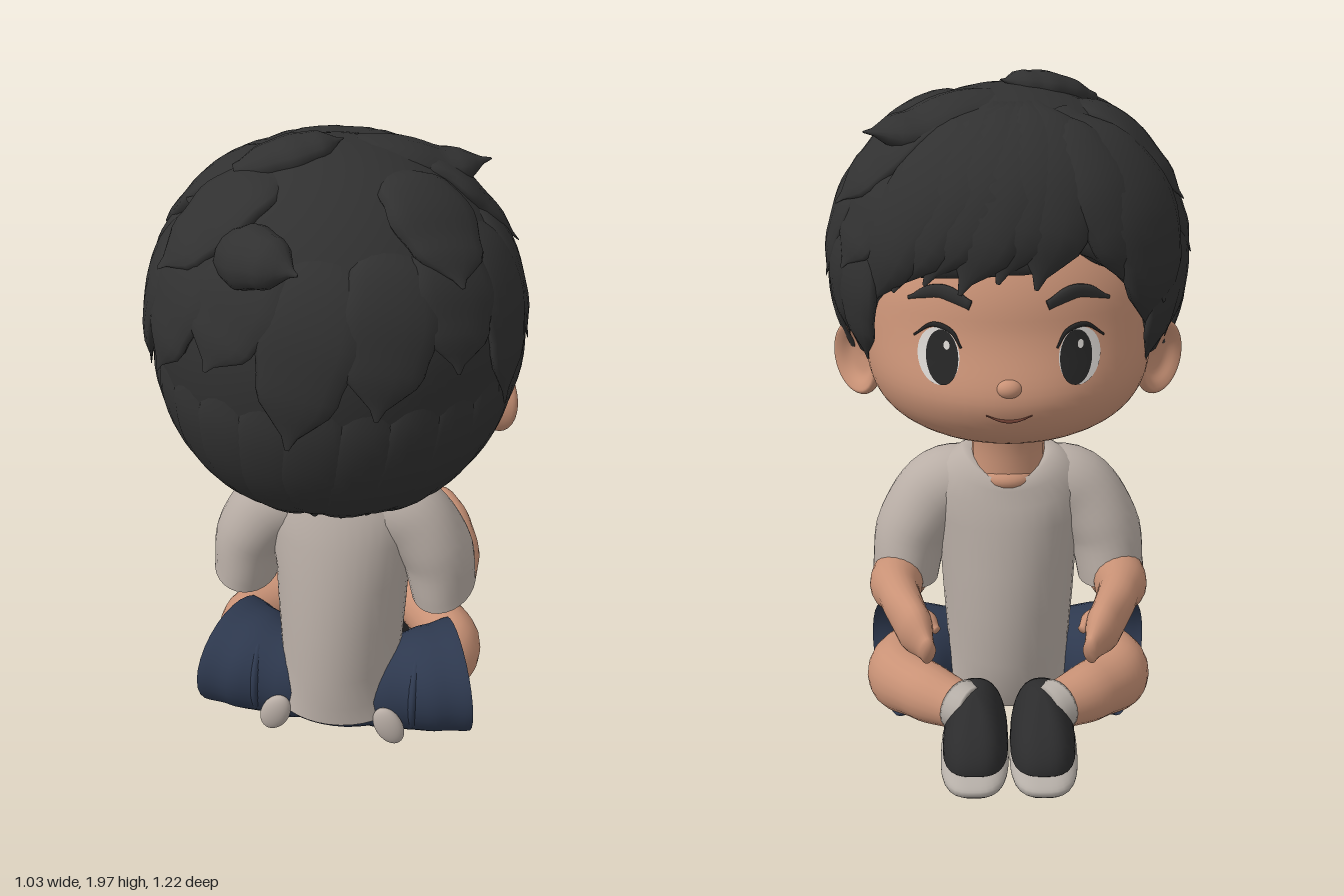
import * as THREE from 'three';

const V = (x, y, z) => new THREE.Vector3(x, y, z);
const mat = (name, color) => new THREE.MeshStandardMaterial({ name, color, side: THREE.DoubleSide });

// Closed rings of points joined into a smooth skin, with optional end caps
function skinRings(rings, capStart = true, capEnd = true) {
  const n = rings[0].length, pos = [], idx = [];
  rings.forEach(r => r.forEach(p => pos.push(p.x, p.y, p.z)));
  for (let i = 0; i < rings.length - 1; i++) for (let j = 0; j < n; j++) {
    const a = i * n + j, b = i * n + (j + 1) % n;
    idx.push(a, b, a + n, b, b + n, a + n);
  }
  const cap = (k, flip) => {
    const c = rings[k].reduce((s, p) => s.add(p), V(0, 0, 0)).divideScalar(n);
    const ci = pos.length / 3;
    pos.push(c.x, c.y, c.z);
    for (let j = 0; j < n; j++) {
      const a = k * n + j, b = k * n + (j + 1) % n;
      flip ? idx.push(ci, b, a) : idx.push(ci, a, b);
    }
  };
  if (capStart) cap(0, true);
  if (capEnd) cap(rings.length - 1, false);
  const g = new THREE.BufferGeometry();
  g.setAttribute('position', new THREE.Float32BufferAttribute(pos, 3));
  g.setIndex(idx);
  g.computeVertexNormals();
  return g;
}

// Ellipse swept along a curve; ra lies across "ref", rb along it
function sweep(points, ra, rb, { ref = () => V(0, 1, 0), steps = 18, sides = 20, caps = [true, true] } = {}) {
  const curve = new THREE.CatmullRomCurve3(points);
  const at = (list, t) => {
    const f = t * (list.length - 1), i = Math.min(Math.floor(f), list.length - 2);
    const k = f - i, s = k * k * (3 - 2 * k);
    return list[i] * (1 - s) + list[i + 1] * s;
  };
  const rings = [];
  for (let i = 0; i <= steps; i++) {
    const t = i / steps, c = curve.getPoint(t), T = curve.getTangent(t);
    const A = ref(c).cross(T).normalize(), B = T.clone().cross(A);
    rings.push(Array.from({ length: sides }, (_, j) => {
      const q = j / sides * Math.PI * 2;
      return c.clone().addScaledVector(A, Math.cos(q) * at(ra, t)).addScaledVector(B, Math.sin(q) * at(rb, t));
    }));
  }
  return skinRings(rings, ...caps);
}

// Face surface: rounder below the eyes, flatter at the forehead
const squash = y => 1 - 0.18 * THREE.MathUtils.smoothstep(y, 1.2, 1.42);
const girth = u => Math.sqrt(Math.max(0, 1 - (u < 0 ? u ** 4 : u * u)));
const faceZ = (x, y) => -0.428 * squash(y) * Math.sqrt(Math.max(0, girth((y - 1.36) / 0.35) ** 2 - (x / 0.405) ** 2));

// Hair volume: azimuth a (0 is the face side) and polar angle th
const DOWN = 0.57;
function hairPt(a, th, k = 1) {
  const c = Math.cos(th), s = Math.sin(th) * k;
  return V(s * Math.sin(a) * 0.49, 1.48 + c * k * (c > 0 ? 0.48 : DOWN), 0.1 - s * Math.cos(a) * (Math.cos(a) > 0 ? 0.47 : 0.49));
}
const LINE = [[0, 1.56], [0.7, 1.53], [0.92, 1.42], [1.0, 1.26], [1.2, 1.25], [1.3, 1.34], [1.48, 1.33], [1.56, 1.12], [1.9, 0.99], [2.4, 1.0], [3.15, 1.02]];
function hairEnd(angle) {
  const b = Math.atan2(Math.sin(angle), Math.cos(angle)), a = Math.abs(b);
  const i = Math.max(1, LINE.findIndex(p => p[0] >= a));
  const [a0, y0] = LINE[i - 1], [a1, y1] = LINE[i];
  // The line rises at the parting
  const d = y0 + (y1 - y0) * (a - a0) / (a1 - a0) - 1.48 + 0.06 * Math.exp(-(((b + 0.38) / 0.18) ** 2));
  return Math.acos(d / (d > 0 ? 0.48 : DOWN));
}

// Blunt shoe form with separate heights above and below its rim
function shoeForm(rx, rz, up, down) {
  const g = new THREE.SphereGeometry(1, 36, 24), p = g.attributes.position;
  for (let i = 0; i < p.count; i++) {
    const x = p.getX(i), y = p.getY(i), z = p.getZ(i);
    const k = Math.hypot(x, z) / (Math.cbrt(Math.abs(x) ** 3 + Math.abs(z) ** 3) || 1);
    p.setXYZ(i, x * k * rx, y > 0 ? y * up * (1 + 0.25 * z) : y * down, z * k * rz);
  }
  g.computeVertexNormals();
  return g;
}

export function createModel() {
  const root = new THREE.Group();
  const skin = mat('skin', 0xc99276), hair = mat('hair', 0x313131), shirt = mat('shirt', 0xb9aea6);
  const navy = mat('shorts', 0x2e394f), shoe = mat('shoe', 0x2c2c2d), sole = mat('sole', 0xb5aea7);
  const white = mat('eyeWhite', 0xd6d2ce), iris = mat('iris', 0x252525), lip = mat('mouth', 0x6e3f33);
  const add = (name, geo, m, parent = root) => {
    const o = new THREE.Mesh(geo, m);
    o.name = name;
    parent.add(o);
    return o;
  };
  const ball = (name, m, p, s) => {
    const o = add(name, new THREE.SphereGeometry(1, 32, 20), m);
    o.position.set(...p);
    o.scale.set(...s);
    return o;
  };

  // Head with full cheeks and chin
  const headGeo = new THREE.SphereGeometry(1, 64, 48), hp = headGeo.attributes.position;
  for (let i = 0; i < hp.count; i++) {
    const u = hp.getY(i), y = 1.36 + 0.35 * u, z = hp.getZ(i);
    const k = u < 0 ? Math.sqrt(1 + u * u) : 1;
    hp.setXYZ(i, hp.getX(i) * k * 0.405, y, z * k * (z < 0 ? 0.428 * squash(y) : 0.36));
  }
  headGeo.computeVertexNormals();
  add('head', headGeo, skin);
  ball('nose', skin, [0, 1.265, -0.4], [0.034, 0.026, 0.026]);
  add('neck', sweep([V(0, 0.8, -0.04), V(0, 0.95, -0.04), V(0, 1.1, -0.04)], [0.115, 0.105, 0.12], [0.11, 0.105, 0.12], { ref: () => V(0, 0, 1) }), skin);
  ball('collarSkin', skin, [0, 0.875, -0.075], [0.09, 0.045, 0.085]);

  // Thin details laid on the face
  const decal = (name, m, cx, cy, rx, ry, off) => {
    const g = new THREE.RingGeometry(0.001, 1, 28, 4), p = g.attributes.position;
    for (let i = 0; i < p.count; i++) {
      const x = cx + p.getX(i) * rx, y = cy + p.getY(i) * ry;
      p.setXYZ(i, x, y, faceZ(x, y) - off);
    }
    g.computeVertexNormals();
    add(name, g, m);
  };
  const onFace = (x, y) => V(x, y, faceZ(x, y) - 0.003);
  add('mouth', sweep([onFace(-0.06, 1.197), onFace(-0.02, 1.182), onFace(0.02, 1.182), onFace(0.06, 1.197)], [0.002, 0.005, 0.002], [0.002, 0.005, 0.002], { sides: 8 }), lip);

  // Ear bowl profile
  const bowl = new THREE.SplineCurve([[0, -0.035], [0.06, -0.03], [0.098, 0.005], [0.092, 0.026], [0.074, 0.02], [0.045, 0], [0, -0.006]].map(p => new THREE.Vector2(...p))).getPoints(28);

  for (const s of [1, -1]) {
    // Eyes, brows and ears
    decal('eyeWhite', white, s * 0.185, 1.335, 0.056, 0.07, 0.003);
    decal('iris', iris, s * 0.175, 1.334, 0.043, 0.067, 0.006);
    decal('eyeGlint', white, s * 0.175 - 0.012, 1.365, 0.008, 0.011, 0.009);
    add('lash', sweep([onFace(s * 0.125, 1.36), onFace(s * 0.15, 1.398), onFace(s * 0.2, 1.41), onFace(s * 0.25, 1.375)], [0.003, 0.006, 0.003], [0.003, 0.008, 0.003], { sides: 8 }), iris);
    add('brow', sweep([onFace(s * 0.1, 1.468), onFace(s * 0.18, 1.495), onFace(s * 0.265, 1.465)], [0.006, 0.01, 0.009, 0.004], [0.014, 0.021, 0.018, 0.005], { sides: 10 }), hair);
    const ear = new THREE.Group();
    ear.name = 'ear';
    ear.position.set(s * 0.42, 1.21, -0.01);
    ear.rotation.y = s * 0.75;
    root.add(ear);
    const earBody = add('earBowl', new THREE.LatheGeometry(bowl, 32), skin, ear);
    earBody.rotation.z = -s * Math.PI / 2;
    earBody.scale.x = 1.1;

    // Sleeve, arm and hand
    add('sleeve', sweep([V(s * 0.05, 0.83, -0.01), V(s * 0.19, 0.795, -0.005), V(s * 0.28, 0.68, -0.015), V(s * 0.31, 0.53, -0.03)],
      [0.1, 0.12, 0.11, 0.1], [0.1, 0.115, 0.13, 0.143], { ref: () => V(0, 0, 1), caps: [true, false], sides: 28 }), shirt);
    add('arm', sweep([V(s * 0.31, 0.66, 0.01), V(s * 0.315, 0.545, -0.03), V(s * 0.33, 0.55, -0.15), V(s * 0.31, 0.575, -0.28), V(s * 0.265, 0.55, -0.4), V(s * 0.22, 0.52, -0.49)],
      [0.07, 0.088, 0.078, 0.058, 0.05, 0.02], [0.07, 0.095, 0.082, 0.063, 0.08, 0.04], { steps: 28, ref: p => V(0, 1, p.z > -0.1 ? -0.8 : 0) }), skin);
    add('thumb', sweep([V(s * 0.27, 0.57, -0.36), V(s * 0.23, 0.565, -0.39), V(s * 0.2, 0.55, -0.42)], [0.03, 0.028, 0.012], [0.03, 0.028, 0.012], { sides: 12 }), skin);

    // Shorts leg, bare leg folded inward
    add('shortsLeg', sweep([V(0, 0.16, 0.06), V(s * 0.17, 0.175, 0.05), V(s * 0.29, 0.19, 0.02), V(s * 0.37, 0.195, -0.01)],
      [0.11, 0.14, 0.175, 0.195], [0.12, 0.15, 0.165, 0.172], { caps: [true, false], sides: 28 }), navy);
    ball('shortsInner', navy, [s * 0.25, 0.19, 0.03], [0.04, 0.155, 0.165]);
    add('leg', sweep([V(s * 0.18, 0.19, 0.02), V(s * 0.3, 0.205, -0.03), V(s * 0.335, 0.215, -0.12), V(s * 0.25, 0.24, -0.25), V(s * 0.12, 0.25, -0.36)],
      [0.095, 0.1, 0.095, 0.085, 0.068], [0.1, 0.11, 0.11, 0.09, 0.068], { steps: 28 }), skin);
    add('sock', sweep([V(s * 0.145, 0.25, -0.335), V(s * 0.125, 0.25, -0.355), V(s * 0.105, 0.25, -0.37)], [0.076, 0.073, 0.07], [0.076, 0.073, 0.07], { steps: 6 }), sole);

    // Shoe: domed upper with the toe tipped up, pale sole, dark tread
    const upper = add('shoeUpper', shoeForm(0.094, 0.19, 0.155, 0.03), shoe);
    upper.position.set(s * 0.097, 0.16, -0.39);
    upper.rotation.x = 0.1;
    add('shoeSole', shoeForm(0.098, 0.2, 0.055, 0.062), sole).position.set(s * 0.099, 0.135, -0.405);
    add('shoeTread', shoeForm(0.08, 0.17, 0.02, 0.018), shoe).position.set(s * 0.099, 0.088, -0.39);

    // Hem corner hanging over the seat
    ball('shirtCorner', shirt, [s * 0.18, 0.125, 0.195], [0.045, 0.07, 0.025]).rotation.z = s * 0.4;
  }

  // Shirt body and seat
  const rows = [[0.14, 0.025, 0.225, 0.215], [0.2, 0.015, 0.2, 0.225], [0.3, 0.008, 0.188, 0.232], [0.46, 0, 0.198, 0.228], [0.6, -0.005, 0.205, 0.208],
    [0.74, -0.01, 0.225, 0.183], [0.84, -0.02, 0.235, 0.152], [0.905, -0.03, 0.19, 0.128], [0.94, -0.035, 0.135, 0.115], [0.93, -0.035, 0.105, 0.1]];
  add('shirtBody', skinRings(rows.map(([y, cz, rx, rz]) => Array.from({ length: 40 }, (_, j) => {
    const q = -j / 40 * Math.PI * 2, front = Math.max(0, -Math.sin(q));
    return V(Math.cos(q) * rx, y - front * front * 0.06 * THREE.MathUtils.smoothstep(y, 0.7, 0.94), cz + Math.sin(q) * rz);
  })), false, false), shirt);
  ball('shortsSeat', navy, [0, 0.145, 0.05], [0.24, 0.115, 0.155]);

  // Hair cap with a turned-in edge that closes toward the nape
  const capRings = [];
  for (let i = 0; i <= 25; i++) capRings.push(Array.from({ length: 96 }, (_, j) => {
    const a = j / 96 * Math.PI * 2, end = hairEnd(a);
    const p = hairPt(a, Math.max(0.01, Math.min(i / 24, 1) * end));
    if (i === 25) {
      const back = THREE.MathUtils.smoothstep(-Math.cos(a), 0, 0.6), k = 0.75 - 0.4 * back;
      p.set(p.x * k, p.y - 0.04 * back, 0.1 + (p.z - 0.1) * k);
    }
    return p;
  }));
  add('hairCap', skinRings(capRings, true, false), hair);

  // Pointed locks that follow the hair volume
  const out = p => p.clone().sub(V(0, 1.45, 0.1));
  const locks = new THREE.Group();
  locks.name = 'hairLocks';
  root.add(locks);
  const lock = (pts, w, th) => add('lock', sweep(pts, [0.35, 0.85, 1, 0.8, 0.04].map(k => k * w), [0.4, 0.9, 1, 0.8, 0.04].map(k => k * th), { ref: out, steps: 16, sides: 14 }), hair, locks);
  const lay = (a0, t0, a1, t1, w, th, tip = 1.03) => lock([0, 0.33, 0.67, 1].map((t, i) =>
    hairPt(a0 + (a1 - a0) * t, t0 + (t1 - t0) * t, [0.96, 0.99, 1, tip][i])), w, th);

  // Hairline and middle rows around the sides and back
  for (let i = 0; i < 17; i++) {
    const a = 1.02 + i / 16 * 4.24, e = hairEnd(a);
    lay(a - 0.1, e * 0.6, a + 0.03, e + (i % 2 ? 0.09 : 0.03), 0.1, 0.028, 1.01);
  }
  for (let i = 0; i < 11; i++) {
    const a = 1.0 + i / 10 * 4.3;
    lay(a - 0.15, 0.75, a + 0.05, 1.5 + (i % 3) * 0.15, 0.13, 0.03, 1.06);
  }
  for (const [a, t] of [[1.2, 1.2], [2.2, 1.1], [4.1, 1.15], [4.9, 1.2]]) lay(a - 0.2, 0.35, a + 0.05, t, 0.14, 0.035, 1.08);

  // Fringe swept from the parting, and the heavy lock on its other side
  for (let i = 0; i < 6; i++) {
    const a = -0.14 + i * 0.2;
    lay(-0.5 + i * 0.14, 0.3, a, hairEnd(a) + 0.09 - (i % 2) * 0.05, 0.125, 0.05, 1.01);
  }
  lay(-0.5, 0.4, -0.72, hairEnd(-0.72) + 0.08, 0.12, 0.06, 1.0);
  lay(-0.8, 0.4, -0.95, hairEnd(-0.95) + 0.06, 0.16, 0.06, 1.0);

  // Loose tufts
  lock([V(-0.22, 1.74, 0.34), V(-0.17, 1.78, 0.44), V(-0.1, 1.8, 0.51), V(0, 1.8, 0.58)], 0.085, 0.06);
  lock([V(-0.24, 1.9, 0.2), V(-0.14, 1.93, 0.17), V(-0.06, 1.95, 0.14), V(0.02, 1.97, 0.1)], 0.085, 0.045);
  lock([V(-0.1, 1.89, 0.05), V(0.1, 1.9, 0.02), V(0.25, 1.86, -0.04), V(0.38, 1.87, -0.1)], 0.12, 0.06);
  lock([V(-0.1, 1.88, 0.2), V(-0.2, 1.84, 0.22), V(-0.28, 1.81, 0.22), V(-0.37, 1.82, 0.2)], 0.09, 0.045);
  return root;
}
